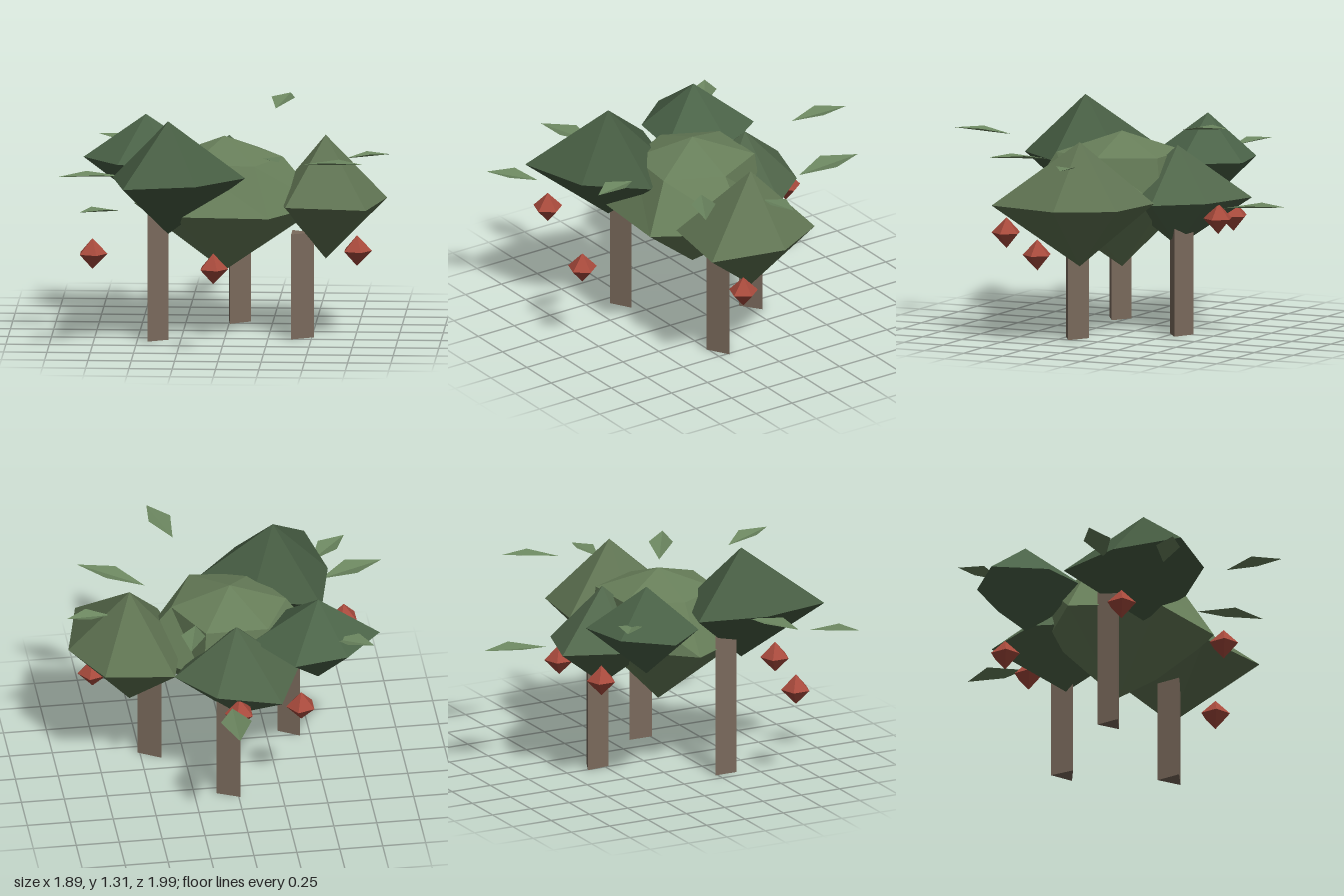
import * as THREE from 'three';

const material = (color, side = THREE.FrontSide) =>
  new THREE.MeshStandardMaterial({ color, flatShading: true, roughness: 0.9, side });

// Faceted solid: an apex, one or more horizontal rings, and a lower point.
// Each ring is { y, radii }, with its corners evenly spaced in angle from +x.
function facetedSolid(topY, rings, bottomY) {
  const n = rings[0].radii.length;
  const positions = [0, topY, 0];
  const index = [];
  for (const { y, radii } of rings) {
    radii.forEach((r, i) => {
      const a = (i / n) * Math.PI * 2;
      positions.push(Math.cos(a) * r, y, Math.sin(a) * r);
    });
  }
  positions.push(0, bottomY, 0);
  const last = 1 + rings.length * n;
  for (let i = 0; i < n; i++) {
    const j = (i + 1) % n;
    index.push(0, 1 + j, 1 + i);
    for (let k = 0; k < rings.length - 1; k++) {
      const a = 1 + k * n, b = a + n;
      index.push(a + i, a + j, b + i, a + j, b + j, b + i);
    }
    const c = last - n;
    index.push(last, c + i, c + j);
  }
  const geometry = new THREE.BufferGeometry();
  geometry.setAttribute('position', new THREE.Float32BufferAttribute(positions, 3));
  geometry.setIndex(index);
  geometry.computeVertexNormals();
  return geometry;
}

// Leaf folded along the line from base to tip, with raised side corners.
function leafGeometry(base, tip, halfWidth, lift) {
  const a = new THREE.Vector3(...base), b = new THREE.Vector3(...tip);
  const side = new THREE.Vector3(b.z - a.z, 0, a.x - b.x).normalize().multiplyScalar(halfWidth);
  const mid = a.clone().lerp(b, 0.5);
  mid.y += lift;
  const left = mid.clone().add(side), right = mid.clone().sub(side);
  const geometry = new THREE.BufferGeometry().setFromPoints([a, left, b, right]);
  geometry.setIndex([0, 1, 2, 0, 2, 3]);
  geometry.computeVertexNormals();
  return geometry;
}

export function createModel() {
  const model = new THREE.Group();
  model.name = 'treeCluster';
  const add = (name, geometry, mat, x = 0, y = 0, z = 0) => {
    const mesh = new THREE.Mesh(geometry, mat);
    mesh.name = name;
    mesh.position.set(x, y, z);
    model.add(mesh);
    return mesh;
  };

  // Three-sided trunks: x, z, radius, height, turn
  const bark = material(0x7a6a5c);
  [
    [-0.4, 0.305, 0.08, 0.85, 0],
    [0.04, -0.3, 0.083, 0.63, 0.1],
    [0.427, 0.185, 0.085, 0.615, 0],
  ].forEach(([x, z, r, h, turn]) => {
    const trunk = add('trunk', new THREE.CylinderGeometry(r, r, h, 3, 1, false, Math.PI / 2), bark, x, h / 2, z);
    trunk.rotation.y = turn;
  });

  // Crowns with one uneven ring
  [
    ['frontCrown', -0.315, 0.47, 1.31, 0.98, 0.65, [0.445, 0.35, 0.48, 0.32, 0.46, 0.33], 0x465c42],
    ['leftCrown', 0.575, 0.08, 1.17, 0.805, 0.445, [0.355, 0.51, 0.43, 0.3, 0.43, 0.37], 0x5f7352],
    ['backCrown', 0, -0.27, 1.1, 0.79, 0.51, [0.36, 0.34, 0.38, 0.36, 0.43, 0.3], 0x50664a],
    ['backRightCrown', -0.48, -0.235, 1.225, 0.97, 0.7, [0.38, 0.35, 0.3, 0.36, 0.28, 0.35], 0x4b6348],
  ].forEach(([name, x, z, top, ringY, bottom, radii, color]) => {
    add(name, facetedSolid(top, [{ y: ringY, radii }], bottom), material(color), x, 0, z);
  });

  // Domed middle crown
  add('middleCrown', facetedSolid(1.16, [
    { y: 1.04, radii: [0.34, 0.38, 0.34, 0.33, 0.36, 0.36] },
    { y: 0.76, radii: [0.57, 0.56, 0.52, 0.52, 0.4, 0.4] },
  ], 0.37), material(0x687f5a), -0.01, 0, 0.09);

  // Five-sided red fruits
  const fruitGeometry = facetedSolid(0.09, [{ y: 0, radii: Array(5).fill(0.087) }], -0.09);
  const fruitMaterial = material(0xa84a3c);
  [
    [-0.745, 0.555, 0.6], [-0.035, 0.515, 0.84], [0.765, 0.525, 0.26],
    [0.02, 0.69, -0.54], [-0.35, 0.655, -0.46],
  ].forEach((p) => add('fruit', fruitGeometry, fruitMaterial, ...p));

  // Loose folded leaves: base, tip, half width
  const leafMaterial = material(0x6c8760, THREE.DoubleSide);
  [
    [[0.07, 0.76, -0.6], [0.08, 0.79, -1], 0.09],
    [[0.26, 1.23, -0.42], [0.33, 1.265, -0.75], 0.07],
    [[0.24, 1.135, 0.68], [0.35, 1.17, 0.99], 0.07],
    [[0.69, 1.03, 0.07], [0.945, 1.05, 0.03], 0.06],
    [[0.45, 1.04, 0.34], [0.815, 1.08, 0.555], 0.07],
    [[-0.58, 0.97, 0.38], [-0.95, 0.985, 0.51], 0.08],
    [[-0.58, 0.84, 0.78], [-0.8, 0.865, 0.99], 0.07],
    [[-0.55, 1.03, -0.36], [-0.77, 1.06, -0.51], 0.07],
  ].forEach(([base, tip, w]) => add('leaf', leafGeometry(base, tip, w, 0.02), leafMaterial));

  return model;
}
